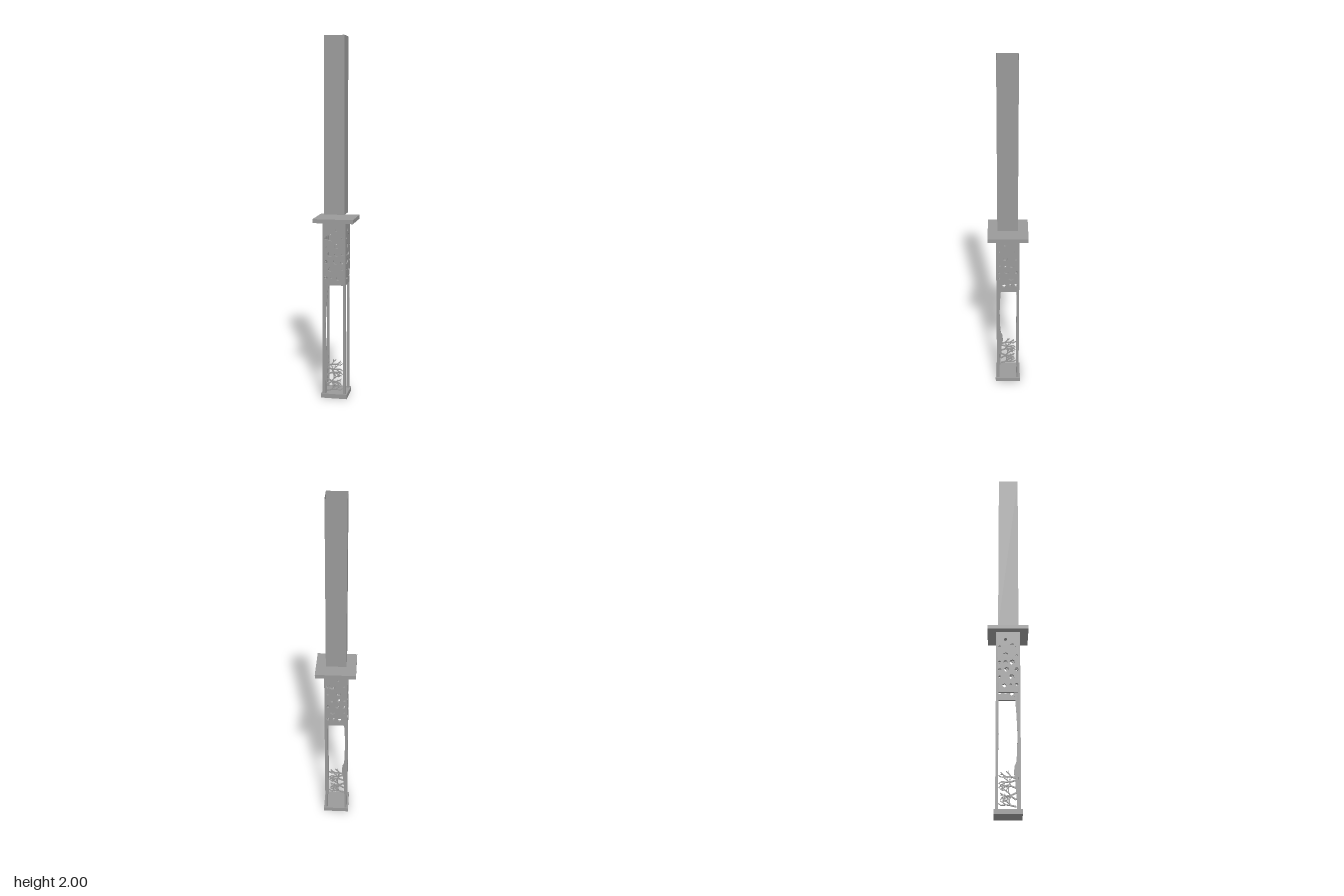
import * as THREE from 'three';

const grey = new THREE.MeshStandardMaterial({ color: 0x999999, flatShading: true, side: THREE.DoubleSide });
const HALF = 0.065, WALL = 0.014, OPEN = HALF - WALL;
const BASE_TOP = 0.025, WINDOW_TOP = 0.647, HANDLE_TOP = 1.0;

// Perforations on one face: across, height, radius
const HOLES = [
  [-0.021, 0.912, 0.02], [0.014, 0.954, 0.009], [0.046, 0.912, 0.006], [-0.046, 0.912, 0.01],
  [0.014, 0.865, 0.014], [-0.046, 0.86, 0.006], [-0.022, 0.82, 0.015], [0.014, 0.82, 0.011],
  [0.046, 0.82, 0.008], [-0.046, 0.778, 0.011], [0.008, 0.778, 0.013], [0.045, 0.775, 0.009],
  [-0.019, 0.735, 0.015], [0.046, 0.737, 0.006], [-0.046, 0.69, 0.01], [-0.013, 0.69, 0.007],
  [0.021, 0.685, 0.012],
];

function addMesh(parent, name, geometry, x = 0, y = 0, z = 0) {
  const mesh = new THREE.Mesh(geometry, grey);
  mesh.name = name;
  mesh.position.set(x, y, z);
  parent.add(mesh);
  return mesh;
}

const polygon = (points) => new THREE.Shape(points.map(([x, y]) => new THREE.Vector2(x, y)));

// One handle side: perforated top above two legs, mitred at the corners
function sidePanel(mirror) {
  const shape = polygon([
    [-HALF, BASE_TOP], [-OPEN, BASE_TOP], [-OPEN, WINDOW_TOP], [OPEN, WINDOW_TOP],
    [OPEN, BASE_TOP], [HALF, BASE_TOP], [HALF, HANDLE_TOP], [-HALF, HANDLE_TOP],
  ]);
  HOLES.forEach(([u, y, r], i) => {
    const sides = 5 + (i % 4);
    const points = [];
    for (let k = 0; k < sides; k++) {
      const a = (k / sides) * Math.PI * 2 + i * 0.7;
      points.push(new THREE.Vector2(mirror * u + r * Math.cos(a), y + r * Math.sin(a)));
    }
    shape.holes.push(new THREE.Path(points));
  });
  const geometry = new THREE.ExtrudeGeometry(shape, { depth: WALL, bevelEnabled: false });
  geometry.translate(0, 0, OPEN);
  const p = geometry.attributes.position;
  for (let i = 0; i < p.count; i++) {
    const x = p.getX(i);
    if (Math.abs(x) > HALF - 1e-4 && p.getZ(i) < OPEN + 1e-4) p.setX(i, Math.sign(x) * OPEN);
  }
  geometry.computeVertexNormals();
  return geometry;
}

// Flat coral: a slim curved trunk along one leg and twigs forking across the window
function coralPanel(mirror) {
  let seed = 11;
  const random = () => (seed = (seed * 16807) % 2147483647) / 2147483647;
  const shapes = [];
  const add = (points) => shapes.push(polygon(points.map(([x, y]) => [mirror * x, y])));

  add([
    [-OPEN, BASE_TOP], [-0.044, BASE_TOP], [-0.043, 0.08], [-0.038, 0.14], [-0.037, 0.18],
    [-0.029, 0.21], [-0.033, 0.25], [-0.041, 0.265], [-0.046, 0.32], [-0.048, 0.42],
    [-0.044, 0.52], [-0.038, 0.6], [-0.032, WINDOW_TOP], [-OPEN, WINDOW_TOP],
  ]);

  function twig(x, y, angle, length, width, level) {
    const x2 = x + Math.cos(angle) * length, y2 = y + Math.sin(angle) * length;
    if (x2 > 0.05 || x2 < -OPEN || y2 < BASE_TOP || y2 > 0.225) return;
    const nx = -Math.sin(angle) * width / 2, ny = Math.cos(angle) * width / 2;
    add([[x - nx, y - ny], [x2 - nx * 0.75, y2 - ny * 0.75], [x2 + nx * 0.75, y2 + ny * 0.75], [x + nx, y + ny]]);
    if (level === 0) return;
    const bend = 0.15 + random() * 0.25;
    const side = random() < 0.5 ? -1 : 1;
    twig(x2, y2, angle + side * bend, length * 0.92, width * 0.85, level - 1);
    twig(x2, y2, angle - side * (bend + 0.4), length * 0.7, width * 0.7, level - 1);
  }
  // start height, direction
  [[0.04, 0.25], [0.075, 0.6], [0.11, -0.45], [0.135, 0.35], [0.175, -0.3], [0.185, 0.3]]
    .forEach(([y, angle]) => twig(-0.041, y, angle, 0.028, 0.008, 3));

  const geometry = new THREE.ExtrudeGeometry(shapes, { depth: 0.008, bevelEnabled: false });
  geometry.translate(0, 0, OPEN + 0.003);
  return geometry;
}

export function createModel() {
  const model = new THREE.Group();
  model.name = 'squareSword';
  const body = new THREE.Group();
  body.name = 'body';
  body.rotation.y = -0.035;
  model.add(body);

  // Hollow blade, open at both ends, hovering just above the guard
  const blade = new THREE.CylinderGeometry(0.112 / Math.SQRT2, 0.112 / Math.SQRT2, 0.96, 4, 1, true);
  blade.rotateY(Math.PI / 4);
  addMesh(body, 'blade', blade, -0.001, 1.52, 0.002);

  // Guard plate
  addMesh(body, 'guard', new THREE.BoxGeometry(0.223, 0.022, 0.223), 0, 1.009, 0);

  // Handle: base plate, four sides, coral on the two sides that meet at one corner
  const handle = new THREE.Group();
  handle.name = 'handle';
  handle.position.set(-0.001, 0, 0.001);
  body.add(handle);
  addMesh(handle, 'basePlate', new THREE.BoxGeometry(0.146, BASE_TOP, 0.146), 0, BASE_TOP / 2, 0);

  ['front', 'left', 'back', 'right'].forEach((side, i) => {
    const mirror = i % 2 ? -1 : 1;
    addMesh(handle, side + 'Panel', sidePanel(mirror)).rotation.y = i * Math.PI / 2;
  });
  addMesh(handle, 'frontCoral', coralPanel(1));
  addMesh(handle, 'rightCoral', coralPanel(-1)).rotation.y = -Math.PI / 2;

  return model;
}
